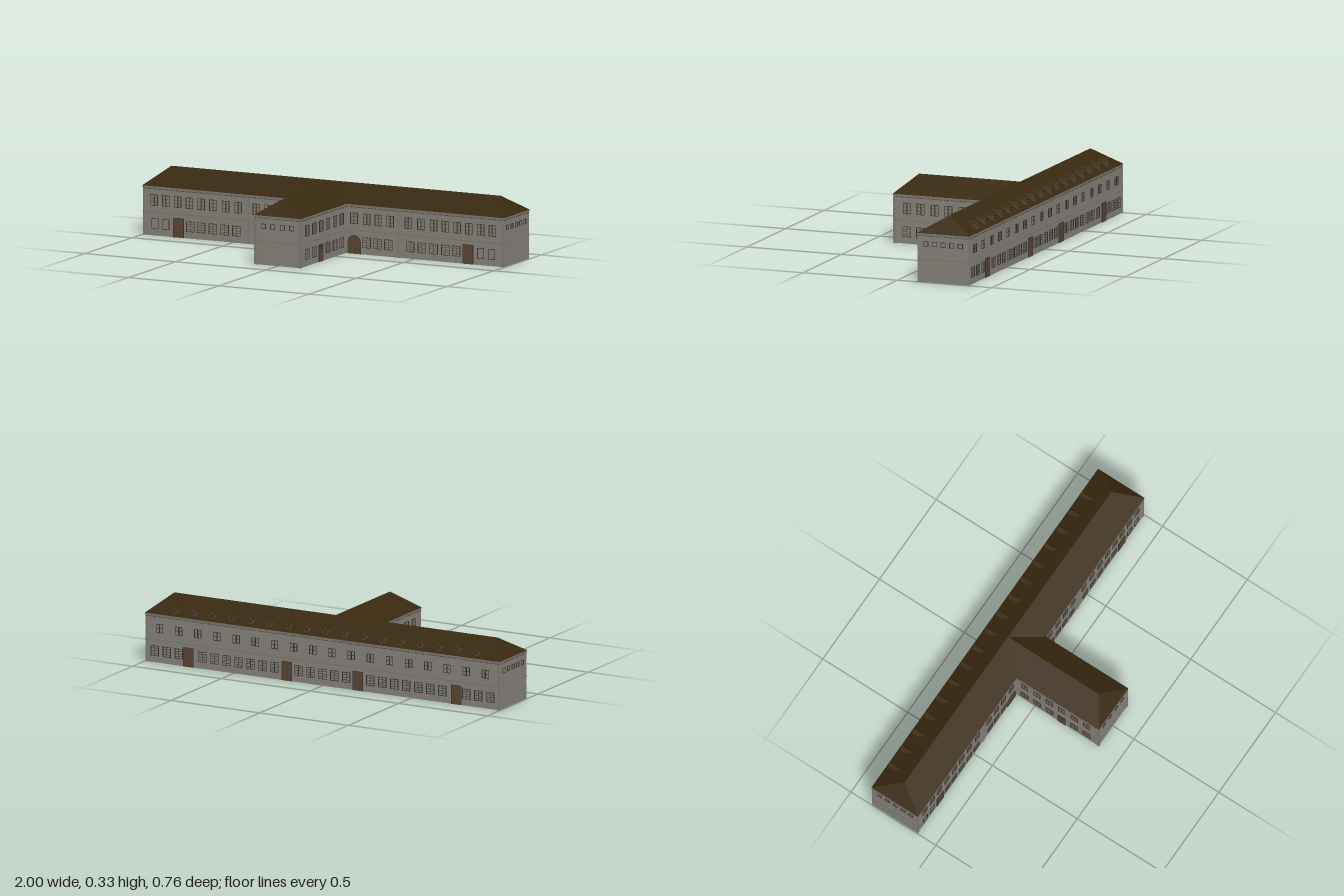
import * as THREE from 'three';
import { mergeGeometries } from 'three/addons/utils/BufferGeometryUtils.js';

const EAVE = 0.245, RIDGE = 0.328;
const BACK = -0.38, MID = -0.2425, JOIN = -0.105, FRONT = 0.38, WING = 0.13;
const INSET = 0.004; // walls sit just inside the eaves

export function createModel() {
  const model = new THREE.Group();
  const material = (name, color, side = THREE.FrontSide) => {
    const m = new THREE.MeshStandardMaterial({ color, side });
    m.name = name;
    return m;
  };
  const wallMat = material('grey plaster', 0x85817a, THREE.DoubleSide);
  const stoneMat = material('grey stone trim', 0x7b776f);
  const frameMat = material('dark window frame', 0x35312b);
  const woodMat = material('brown wood', 0x594534);
  const roofMat = material('dark brown roof', 0x38290f, THREE.DoubleSide);

  // A facade gathers its parts in (u along the wall, y, outwards) and turns them into place.
  function facade(name, turn, plane) {
    const parts = {};
    const add = (part, mat, geo) => {
      (parts[part] ??= { mat, geos: [] }).geos.push(geo);
    };
    const box = (part, mat, u, y0, y1, w, depth, out = 0) => add(part, mat,
      new THREE.BoxGeometry(w, y1 - y0, depth).translate(u, (y0 + y1) / 2, plane + out + depth / 2));
    return {
      wall(u0, u1) {
        const w = u1 - u0, u = (u0 + u1) / 2;
        add('wall', wallMat, new THREE.PlaneGeometry(w, EAVE).translate(u, EAVE / 2, plane));
        box('stringCourse', stoneMat, u, 0.113, 0.119, w, 0.003);
        box('cornice', stoneMat, u, 0.229, 0.235, w, 0.002);
        box('cornice', stoneMat, u, 0.235, EAVE, w, 0.0038);
        // small dentils under the cornice
        const n = Math.floor(w / 0.012);
        for (let i = 0; i < n; i++) {
          box('dentils', frameMat, u0 + (i + 0.5) * w / n, 0.23, 0.234, 0.004, 0.003);
        }
      },
      window(u, y0, y1, w, cols, rows, bars = frameMat) {
        const t = 0.0026;
        for (const s of [-1, 1]) box('windowFrames', frameMat, u + s * (w - t) / 2, y0, y1, t, 0.003);
        box('windowFrames', frameMat, u, y0, y0 + t, w, 0.003);
        box('windowFrames', frameMat, u, y1 - t, y1, w, 0.003);
        for (let i = 1; i < cols; i++) {
          box('windowBars', bars, u - w / 2 + w * i / cols, y0, y1, bars === woodMat ? 0.006 : 0.002, 0.0025);
        }
        for (let i = 1; i < rows; i++) {
          const y = y0 + (y1 - y0) * i / rows;
          box('windowBars', bars, u, y - 0.001, y + 0.001, w, 0.0022);
        }
      },
      upper(u) { this.window(u, 0.148, 0.204, 0.04, 2, 3, woodMat); },
      lower(u) { this.window(u, 0.033, 0.085, 0.045, 2, 4); },
      small(u) { this.window(u, 0.18, 0.205, 0.026, 1, 1); },
      door(u, w, h, fan = false) {
        box('door', woodMat, u, 0, h, w, 0.003);
        for (const s of [-1, 1]) box('doorFrame', frameMat, u + s * w / 2, 0, h, 0.002, 0.0038);
        box('doorFrame', frameMat, u, h, h + 0.002, w, 0.0038);
        if (fan) {
          for (let i = -2; i <= 2; i++) {
            box('doorLights', frameMat, u + i * w * 0.18, h - 0.025 + Math.abs(i) * 0.003, h - 0.004, 0.004, 0.0036);
          }
        }
      },
      archDoor(u, w, h) {
        const arch = (r, top, depth) => {
          const s = new THREE.Shape().moveTo(-r, 0).lineTo(r, 0).lineTo(r, top - r);
          s.absarc(0, top - r, r, 0, Math.PI, false);
          return new THREE.ExtrudeGeometry(s, { depth, bevelEnabled: false, curveSegments: 10 })
            .toNonIndexed().translate(u, 0, plane);
        };
        add('archFrame', frameMat, arch(w / 2 + 0.002, h + 0.002, 0.002));
        add('archDoor', woodMat, arch(w / 2, h, 0.003));
      },
      quoins(u, dir) {
        for (let i = 0; i < 22; i++) {
          const w = i % 2 ? 0.006 : 0.011;
          box('quoins', i % 2 ? frameMat : stoneMat, u + dir * w / 2, i * 0.0104, i * 0.0104 + 0.0085, w, 0.0032);
        }
      },
      build() {
        const group = new THREE.Group();
        group.name = name;
        group.rotation.y = turn;
        for (const [part, { mat, geos }] of Object.entries(parts)) {
          const flat = geos.map(g => (g.index ? g.toNonIndexed() : g));
          const mesh = new THREE.Mesh(mergeGeometries(flat), mat);
          mesh.name = part;
          group.add(mesh);
        }
        model.add(group);
      },
    };
  }

  const end = 1 - INSET, wing = WING - INSET;

  // Long front, one half on each side of the wing
  for (const s of [-1, 1]) {
    const f = facade(s > 0 ? 'leftFront' : 'rightFront', 0, JOIN - INSET);
    f.wall(s > 0 ? wing : -end, s > 0 ? end : -wing);
    for (const x of [0.17, 0.24, 0.305, 0.37, 0.47, 0.54, 0.61, 0.675, 0.74, 0.805, 0.87, 0.935]) f.upper(s * x);
    for (const x of [0.24, 0.3, 0.36, 0.48, 0.545, 0.61, 0.675, 0.735]) f.lower(s * x);
    for (const x of [0.87, 0.93]) f.window(s * x, 0.033, 0.085, 0.038, 1, 1);
    f.door(s * 0.8, 0.056, 0.095);
    f.archDoor(s * 0.17, 0.07, 0.09);
    f.quoins(s * 0.41, s);
    f.quoins(s * end, -s);
    f.build();
  }

  // Long back
  const back = facade('back', Math.PI, -BACK - INSET);
  back.wall(-end, end);
  const backDoors = [-0.755, -0.2, 0.2, 0.755];
  for (const x of backDoors) back.door(x, 0.056, 0.095);
  for (let i = 0; i < 29; i++) {
    const x = (i - 14) * 0.0675;
    if (backDoors.every(d => Math.abs(d - x) > 0.052)) back.lower(x);
  }
  for (let i = 0; i < 18; i++) back.window((i - 8.5) * 0.108, 0.152, 0.195, 0.04, 2, 2, woodMat);
  for (const s of [-1, 1]) back.quoins(s * end, -s);
  back.build();

  // Short ends and the wing's sides, where u runs along -z or +z
  for (const s of [-1, 1]) {
    const label = s > 0 ? 'left' : 'right', turn = s * Math.PI / 2;
    const e = facade(label + 'End', turn, end);
    const range = (a, b) => [Math.min(-s * a, -s * b), Math.max(-s * a, -s * b)];
    e.wall(...range(BACK + INSET, JOIN - INSET));
    for (let i = 0; i < 5; i++) e.small(-s * (-0.15 - i * 0.0455));
    e.build();

    const w = facade(label + 'WingSide', turn, wing);
    w.wall(...range(JOIN - INSET, FRONT - INSET));
    const bays = [0.306, 0.233, 0.159, 0.086, 0.013, -0.06];
    bays.forEach((z, i) => {
      w.upper(-s * z);
      if (i === 2) w.door(-s * z, 0.043, 0.085, true);
      else w.lower(-s * z);
    });
    w.quoins(-s * (FRONT - INSET), s);
    w.build();
  }

  // Wing front
  const gable = facade('wingFront', 0, FRONT - INSET);
  gable.wall(-wing, wing);
  for (const x of [-0.078, -0.027, 0.027, 0.078]) gable.small(x);
  for (const s of [-1, 1]) gable.quoins(s * wing, -s);
  gable.build();

  // Roof surfaces from flat polygons, corners anticlockwise from outside
  function surface(name, mat, faces) {
    const pos = [];
    for (const f of faces) {
      for (let i = 1; i < f.length - 1; i++) pos.push(...f[0], ...f[i], ...f[i + 1]);
    }
    const g = new THREE.BufferGeometry();
    g.setAttribute('position', new THREE.Float32BufferAttribute(pos, 3));
    g.computeVertexNormals();
    const mesh = new THREE.Mesh(g, mat);
    mesh.name = name;
    return mesh;
  }
  const mirror = f => f.map(([x, y, z]) => [-x, y, z]).reverse();
  const both = faces => faces.flatMap(f => [f, mirror(f)]);
  const hip = 0.91, wingHip = 0.293;
  model.add(surface('mainRoof', roofMat, [
    [[1, EAVE, BACK], [-1, EAVE, BACK], [-hip, RIDGE, MID], [hip, RIDGE, MID]],
    ...both([
      [[WING, EAVE, JOIN], [1, EAVE, JOIN], [hip, RIDGE, MID], [0, RIDGE, MID]],
      [[1, EAVE, JOIN], [1, EAVE, BACK], [hip, RIDGE, MID]],
    ]),
  ]));
  model.add(surface('wingRoof', roofMat, [
    [[-WING, EAVE, FRONT], [WING, EAVE, FRONT], [0, RIDGE, wingHip]],
    ...both([[[WING, EAVE, FRONT], [WING, EAVE, JOIN], [0, RIDGE, MID], [0, RIDGE, wingHip]]]),
  ]));

  // Row of dormers on the back slope
  const zf = -0.361, hw = 0.013, sill = 0.255, top = 0.281, peak = 0.294;
  for (let i = 0; i < 17; i++) {
    const dormer = new THREE.Group();
    dormer.name = 'dormer';
    dormer.position.x = (i - 8) * 0.106 - 0.008;
    dormer.add(surface('dormerWalls', woodMat, [
      [[hw, sill, zf], [-hw, sill, zf], [-hw, top, zf], [0, peak - 0.002, zf], [hw, top, zf]],
      ...both([[[hw, sill, zf], [hw, top, zf], [hw, top, -0.318]]]),
    ]));
    dormer.add(surface('dormerRoof', roofMat, both([
      [[0.017, top - 0.003, zf - 0.005], [0.017, top - 0.003, -0.322], [0, peak, -0.297], [0, peak, zf - 0.005]],
    ])));
    const pane = new THREE.Mesh(new THREE.BoxGeometry(0.016, 0.018, 0.002), frameMat);
    pane.name = 'dormerWindow';
    pane.position.set(0, 0.271, zf);
    dormer.add(pane);
    model.add(dormer);
  }
  return model;
}
